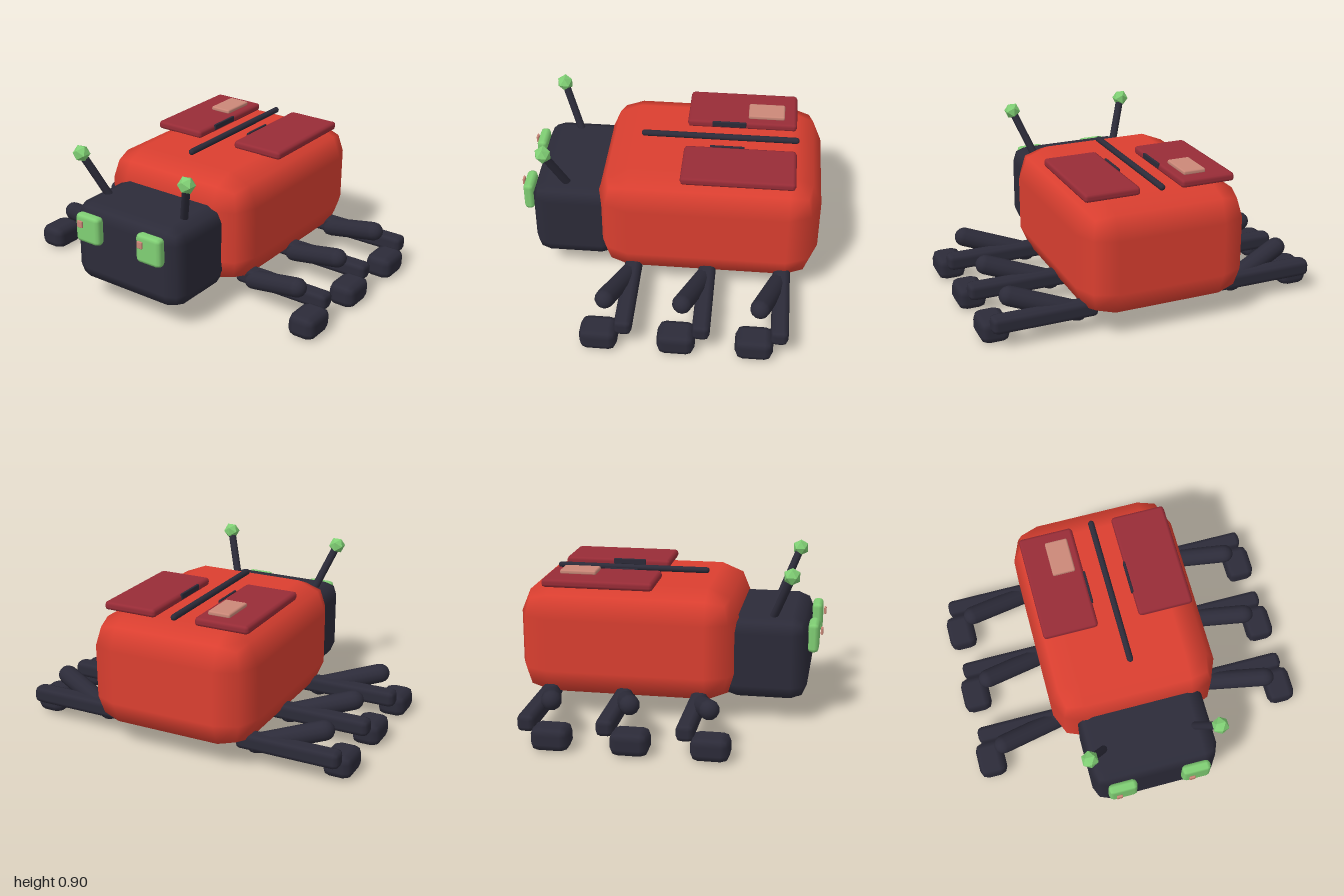
import * as THREE from 'three';
import { RoundedBoxGeometry } from 'three/addons/geometries/RoundedBoxGeometry.js';

const mat = (name, color) => {
  const m = new THREE.MeshStandardMaterial({ color });
  m.name = name;
  return m;
};

export function createModel() {
  const model = new THREE.Group();
  model.name = 'beetle';
  const red = mat('shell red', 0xdb3f30);
  const crimson = mat('wing crimson', 0x982c37);
  const dark = mat('dark slate', 0x2c2b39);
  const green = mat('light green', 0x80cf74);
  const salmon = mat('salmon', 0xcb8878);

  const add = (name, geometry, material) => {
    const mesh = new THREE.Mesh(geometry, material);
    mesh.name = name;
    model.add(mesh);
    return mesh;
  };

  // Bevelled box given by its [min, max] range on each axis
  const block = (name, material, x, y, z, radius) => {
    const mid = (r) => (r[0] + r[1]) / 2;
    const size = (r) => Math.abs(r[1] - r[0]);
    add(name, new RoundedBoxGeometry(size(x), size(y), size(z), 1, radius), material)
      .position.set(mid(x), mid(y), mid(z));
  };

  // Round rod between two points, optionally with domed ends
  const rod = (name, material, from, to, radius, domed) => {
    const a = new THREE.Vector3(...from), b = new THREE.Vector3(...to);
    const dir = b.clone().sub(a), length = dir.length();
    const geometry = domed
      ? new THREE.CapsuleGeometry(radius, length, 4, 12)
      : new THREE.CylinderGeometry(radius, radius, length, 10);
    const mesh = add(name, geometry, material);
    mesh.position.copy(a).add(b).multiplyScalar(0.5);
    mesh.quaternion.setFromUnitVectors(new THREE.Vector3(0, 1, 0), dir.normalize());
  };

  // Body, head and the seam along the back
  block('body', red, [-0.49, 0.49], [0.1, 0.765], [-0.865, 0.4], 0.18);
  block('head', dark, [-0.37, 0.37], [0.125, 0.61], [0.3, 0.785], 0.09);
  rod('backSeam', dark, [0, 0.787, -0.71], [0, 0.787, 0.165], 0.018, true);

  for (const s of [-1, 1]) {
    const side = s > 0 ? 'left' : 'right';

    // Eyes
    block(side + 'Eye', green, [s * 0.132, s * 0.298], [0.405, 0.575], [0.782, 0.843], 0.024);

    // Antennae with faceted tips
    rod(side + 'Antenna', dark, [s * 0.262, 0.585, 0.58], [s * 0.367, 0.86, 0.69], 0.023, false);
    add(side + 'AntennaTip', new THREE.IcosahedronGeometry(0.05, 0), green)
      .position.set(s * 0.367, 0.862, 0.69);

    // Wing cases with a dark strip on the inner edge
    block(side + 'WingCase', crimson, [s * 0.12, s * 0.44], [0.757, 0.807], [-0.713, -0.075], 0.02);
    block(side + 'WingStrip', dark, [s * 0.113, s * 0.127], [0.775, 0.809], [-0.417, -0.22], 0.005);

    // Three legs: straight bar, raised thigh and foot
    for (let i = 0; i < 3; i++) {
      const z = -0.43 * i;
      const leg = side + 'Leg' + (i + 1);
      block(leg + 'Bar', dark, [s * 0.36, s * 0.96], [0.093, 0.19], [z + 0.142, z + 0.24], 0.03);
      rod(leg + 'Thigh', dark, [s * 0.47, 0.125, z + 0.2], [s * 0.82, 0.235, z + 0.303], 0.056, true);
      block(leg + 'Foot', dark, [s * 0.835, s], [0, 0.137], [z + 0.222, z + 0.432], 0.045);
    }
  }

  // Pupils, both looking the same way
  for (const x of [-0.245, 0.18]) {
    block('pupil', salmon, [x - 0.018, x + 0.018], [0.506, 0.547], [0.851, 0.865], 0.005);
  }

  // Patch on the right wing case
  block('wingPatch', salmon, [-0.298, -0.165], [0.802, 0.829], [-0.64, -0.428], 0.01);

  return model;
}
